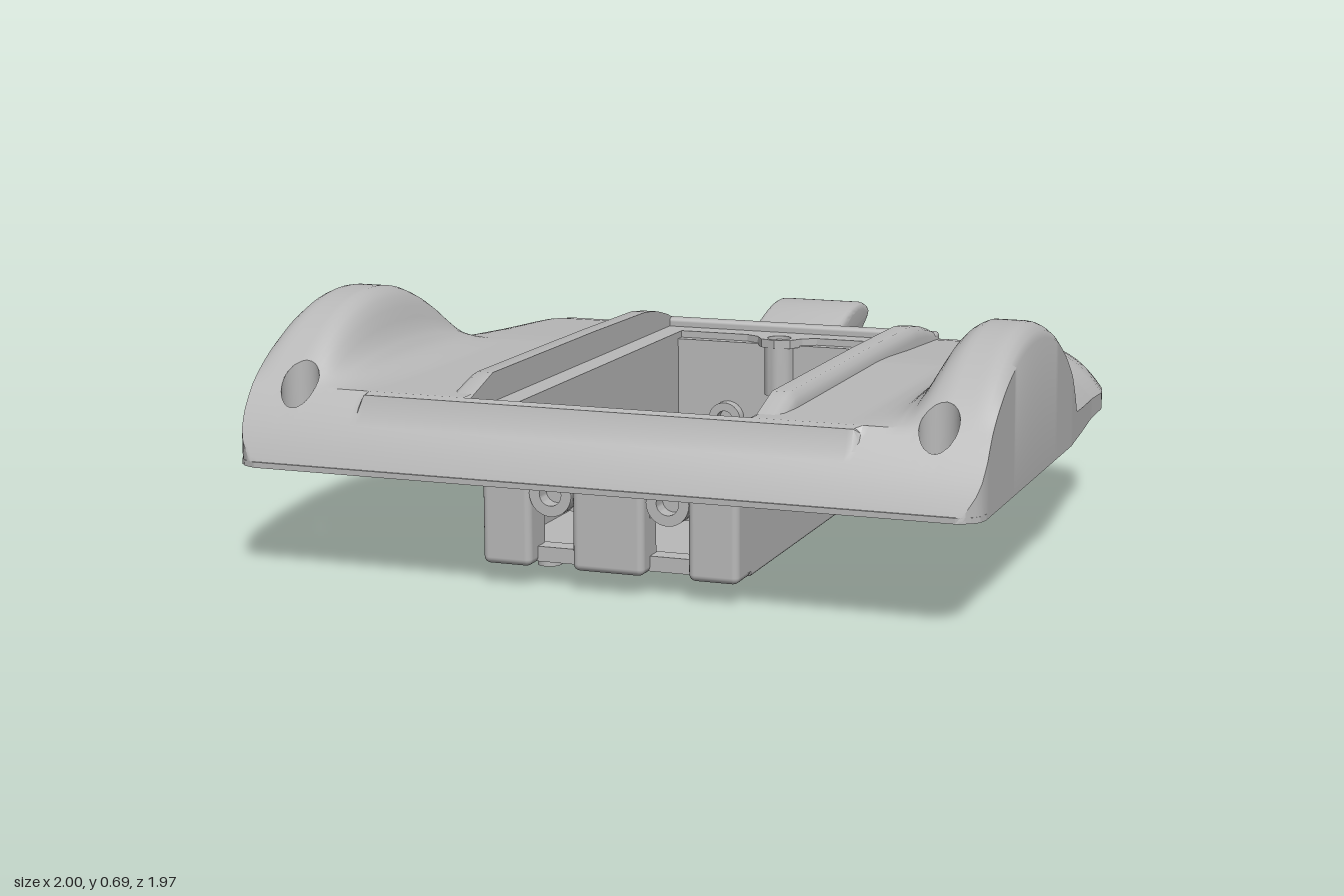
import * as THREE from 'three';
import { toCreasedNormals } from 'three/addons/utils/BufferGeometryUtils.js';
import { RoundedBoxGeometry } from 'three/addons/geometries/RoundedBoxGeometry.js';

const RIM = 0.29;
// piecewise-linear lookup
function interp(points, t) {
  if (t <= points[0][0]) return points[0][1];
  for (let i = 1; i < points.length; i++) {
    const [a, p] = points[i - 1], [b, q] = points[i];
    if (t <= b) return p + (q - p) * (t - a) / (b - a);
  }
  return points[points.length - 1][1];
}
const clamp = THREE.MathUtils.clamp;
const halfWidth = z => interp([[-0.82, 0.86], [-0.815, 0.885], [-0.8, 0.905], [-0.77, 0.92], [-0.6, 0.955], [-0.55, 0.965],
  [-0.4, 0.968], [-0.2, 0.985], [0, 1], [0.92, 1], [0.95, 0.993], [0.97, 0.975], [0.985, 0.94]], z);
const deckLine = z => interp([[-0.82, 0.395], [-0.81, 0.41], [-0.79, 0.42], [-0.75, 0.432], [-0.68, 0.445], [-0.6, 0.455],
  [-0.3, 0.472], [-0.1, 0.486], [0, 0.49]], z);
const gripLine = z => 0.105 + Math.sqrt(Math.max(0, 0.585 ** 2 - (z - 0.43) ** 2));
const gripProfile = x => interp([[0.65, 0], [0.7, 0.06], [0.74, 0.16], [0.78, 0.38], [0.8, 0.6], [0.82, 0.82],
  [0.845, 0.95], [0.87, 1], [0.955, 1], [0.985, 0.93], [1, 0.78]], x);

// height of the shell: deck, side grips, sloped front and rounded rear shoulders
function shellHeight(x, z) {
  const ax = Math.abs(x), w = halfWidth(z);
  const t = ax <= 0.7 ? ax : 0.7 + (ax - 0.7) / (w - 0.7) * 0.3;
  const fade = clamp((0.2 - z) / 0.3, 0, 1);
  const deck = deckLine(z) - fade * 0.12 * Math.pow(clamp((t - 0.72) / 0.28, 0, 1), 2.5);
  const arc = gripLine(z);
  if (arc > deck) return deck + (arc - deck) * gripProfile(t);
  if (z < 0.43) return deck;
  return Math.max(RIM, ax < 0.661 && z < 0.905 ? 0.485 : arc);
}

const screws = [[-0.865, 0.86, 0.42], [0.865, 0.86, 0.42], [-0.68, -0.72, 0.4], [0.68, -0.72, 0.4]];

// grid surface with screw holes, a central opening and vertical outer walls
function shellGeometry() {
  const half = [];
  for (let i = 1; i <= 66; i++) half.push(i * 0.015);
  half.push(1);
  const cols = [...half.map(v => -v).reverse(), 0, ...half];
  const rows = [-0.82, -0.815];
  for (let k = 0; k <= 119; k++) rows.push(-0.81 + k * 0.015);
  rows.push(0.981, 0.985);
  const nx = cols.length + 2, nz = rows.length + 2, pts = [], index = [];
  for (let j = 0; j < nz; j++) for (let i = 0; i < nx; i++) {
    const z = rows[clamp(j - 1, 0, rows.length - 1)], c = cols[clamp(i - 1, 0, cols.length - 1)];
    const a = Math.abs(c), w = halfWidth(z);
    const x = Math.sign(c) * (a <= 0.7 ? a : 0.7 + (a - 0.7) / 0.3 * (w - 0.7));
    const edge = i === 0 || j === 0 || i === nx - 1 || j === nz - 1;
    pts.push({ x, z, edge });
  }
  for (let j = 0; j < nz - 1; j++) for (let i = 0; i < nx - 1; i++) {
    const a = j * nx + i, quad = [a, a + 1, a + nx, a + nx + 1];
    const cx = (pts[a].x + pts[a + nx + 1].x) / 2, cz = (pts[a].z + pts[a + nx + 1].z) / 2;
    if (Math.abs(cx) < 0.39 && cz > -0.6 && cz < 0.87) continue;
    const hole = screws.find(s => Math.hypot(cx - s[0], cz - s[1]) < 0.05);
    if (hole) quad.forEach(q => { pts[q].hole = hole; });
    else index.push(a, a + nx, a + 1, a + 1, a + nx, a + nx + 1);
  }
  const pos = [];
  for (const p of pts) {
    if (p.hole) { // pull the ragged border onto the circle
      const [hx, hz] = p.hole, d = Math.hypot(p.x - hx, p.z - hz) || 1;
      p.x = hx + (p.x - hx) * 0.05 / d;
      p.z = hz + (p.z - hz) * 0.05 / d;
    }
    pos.push(p.x, p.edge ? RIM : shellHeight(p.x, p.z), p.z);
  }
  const g = new THREE.BufferGeometry();
  g.setAttribute('position', new THREE.Float32BufferAttribute(pos, 3));
  g.setIndex(index);
  return toCreasedNormals(g, 0.6);
}

// plan outline given as [x, z] pairs, extruded upward
const planPath = (pts, Kind = THREE.Path) => new Kind(pts.map(([x, z]) => new THREE.Vector2(x, -z)));
const circle = (x, z, r) => new THREE.Path().absarc(x, -z, r, 0, Math.PI * 2);
const rect = (x, z0, z1) => [[-x, z0], [x, z0], [x, z1], [-x, z1]];
function slab(outline, holes, y0, y1, bevel = 0) {
  const s = planPath(outline, THREE.Shape);
  s.holes = holes;
  const g = new THREE.ExtrudeGeometry(s, { depth: y1 - y0 - 2 * bevel, bevelEnabled: bevel > 0, bevelSize: bevel,
    bevelThickness: bevel, bevelOffset: -bevel, bevelSegments: 3, curveSegments: 24 });
  return g.rotateX(-Math.PI / 2).translate(0, y0 + bevel, 0);
}
// hollow cylinder standing on y
const ring = (rOut, rIn, h) => toCreasedNormals(new THREE.LatheGeometry(
  [[rIn, 0], [rOut, 0], [rOut, h], [rIn, h], [rIn, 0]].map(p => new THREE.Vector2(...p)), 28), 0.6);

export function createModel() {
  const model = new THREE.Group();
  const grey = new THREE.MeshStandardMaterial({ color: 0xb8b8b8, side: THREE.DoubleSide });
  grey.name = 'grey plastic';
  const add = (name, geometry, x = 0, y = 0, z = 0) => {
    const m = new THREE.Mesh(geometry, grey);
    m.name = name;
    m.position.set(x, y, z);
    model.add(m);
    return m;
  };
  const box = (name, x0, x1, y0, y1, z0, z1, r = 0) => add(name,
    r ? new RoundedBoxGeometry(x1 - x0, y1 - y0, z1 - z0, 3, r) : new THREE.BoxGeometry(x1 - x0, y1 - y0, z1 - z0),
    (x0 + x1) / 2, (y0 + y1) / 2, (z0 + z1) / 2);

  add('shell', shellGeometry());

  // flat rim under the shell
  const zs = [-0.82, -0.815, -0.8, -0.77, -0.6, -0.4, -0.2, 0, 0.92, 0.95, 0.97, 0.985];
  const outline = [...zs.map(z => [halfWidth(z), z]), ...zs.slice().reverse().map(z => [-halfWidth(z), z])];
  const inner = [[0.84, -0.6], [0.92, -0.3], [0.94, 0], [0.94, 0.7], [0.75, 0.78], [0.7, 0.92]];
  const opening = planPath([...inner, ...inner.slice().reverse().map(([x, z]) => [-x, z])]);
  add('bottomRim', slab(outline, [opening, ...screws.map(s => circle(s[0], s[1], 0.03))], RIM, RIM + 0.015));

  // counterbored screw wells
  for (const [x, z, ledge] of screws) {
    const wall = new THREE.CylinderGeometry(0.05, 0.05, 1, 28, 1, true);
    const p = wall.attributes.position;
    for (let i = 0; i < p.count; i++)
      p.setY(i, p.getY(i) > 0 ? shellHeight(x + p.getX(i), z + p.getZ(i)) : ledge);
    add('screwWell', wall, x, 0, z);
    add('screwBoss', ring(0.05, 0.03, ledge - RIM), x, RIM, z);
  }

  // recessed frame around the compartment, with a screw tab at the rear
  const mouth = planPath([[-0.32, -0.53], [-0.11, -0.53], [-0.07, -0.51], [-0.045, -0.47], [0, -0.455], [0.045, -0.47],
    [0.07, -0.51], [0.11, -0.53], [0.32, -0.53], [0.32, 0.75], [-0.32, 0.75]]);
  add('frame', slab(rect(0.39, -0.61, 0.875), [mouth, circle(0, 0.8, 0.04), circle(0, -0.505, 0.035)], 0.425, 0.45));
  box('frameFrontLip', -0.39, 0.39, 0.425, 0.485, 0.868, 0.88);
  add('frontScrewSocket', ring(0.042, 0.02, 0.1), 0, 0.34, 0.8);
  add('rearScrewSocket', ring(0.045, 0.02, 0.16), 0, 0.28, -0.505);

  // raised rails either side and the bar joining them at the rear
  const railTop = z => interp([[-0.645, 0.46], [-0.6, 0.485], [-0.5, 0.51], [-0.4, 0.523], [0, 0.527], [0.7, 0.527], [0.85, 0.48]], z);
  const profile = new THREE.Shape([[0.385, 0], [0.455, 0], [0.455, 0.65], [0.447, 0.88], [0.43, 1], [0.385, 1]]
    .map(p => new THREE.Vector2(...p)));
  const rail = new THREE.ExtrudeGeometry(profile, { depth: 1.495, steps: 50, bevelEnabled: false }).translate(0, 0, -0.645);
  const rp = rail.attributes.position;
  for (let i = 0; i < rp.count; i++) rp.setY(i, 0.425 + rp.getY(i) * (railTop(rp.getZ(i)) - 0.425));
  const railGeometry = toCreasedNormals(rail, 0.7);
  add('leftRail', railGeometry);
  add('rightRail', railGeometry).scale.x = -1;
  box('rearBar', -0.455, 0.455, 0.42, 0.475, -0.645, -0.6, 0.012);

  // latch tongue at the rear
  const tongue = new THREE.Shape();
  tongue.moveTo(0.62, 0.4);
  tongue.lineTo(0.82, 0.362);
  tongue.lineTo(0.965, 0.438);
  tongue.quadraticCurveTo(1.005, 0.465, 0.98, 0.485);
  tongue.quadraticCurveTo(0.9, 0.53, 0.75, 0.485);
  tongue.lineTo(0.62, 0.445);
  const tongueGeometry = new THREE.ExtrudeGeometry(tongue, { depth: 0.23, bevelSize: 0.02, bevelThickness: 0.02,
    bevelOffset: -0.02, bevelSegments: 4, curveSegments: 16 }).rotateY(Math.PI / 2).translate(-0.115, 0, 0);
  add('latchTongue', toCreasedNormals(tongueGeometry, 0.6));

  // compartment tub: floor, walls and a front split by two grooves
  const cut = s => planPath([[0.06, 0.7], [0.1, 0.715], [0.155, 0.735], [0.21, 0.715], [0.255, 0.7], [0.245, 0.748], [0.08, 0.748]]
    .map(([x, z]) => [s * x, z]));
  add('tubFloor', slab(rect(0.35, -0.55, 0.76), [cut(1), cut(-1)], 0.055, 0.085, 0.008));
  for (const s of [-1, 1]) {
    box('tubSideWall', s > 0 ? 0.32 : -0.35, s > 0 ? 0.35 : -0.32, 0.07, 0.43, -0.55, 0.78);
    box('tubFrontBlock', s > 0 ? 0.215 : -0.35, s > 0 ? 0.35 : -0.215, 0.055, 0.43, 0.75, 0.86, 0.018);
    box('grooveLintel', s > 0 ? 0.08 : -0.23, s > 0 ? 0.23 : -0.08, 0.2, 0.43, 0.75, 0.81);
    box('grooveSill', s > 0 ? 0.08 : -0.23, s > 0 ? 0.23 : -0.08, 0.06, 0.1, 0.755, 0.81);
    add('frontScrewBoss', ring(0.058, 0.03, 0.05).rotateX(Math.PI / 2), s * 0.16, 0.25, 0.805);
    add('innerScrewBoss', ring(0.05, 0.025, 0.035).rotateX(Math.PI / 2), s * 0.16, 0.2, -0.5);
    add('rearScrewSocket', ring(0.035, 0.02, 0.012).rotateX(Math.PI / 2), s * 0.16, 0.2, -0.56);
  }
  box('tubFrontCentre', -0.1, 0.095, 0.055, 0.43, 0.75, 0.86, 0.018);
  box('tubRearWall', -0.35, 0.35, 0.07, 0.43, -0.55, -0.5);

  // locating pins under the floor
  for (const [x, z] of [[0.155, 0.52], [0.17, 0.145], [-0.16, 0.145], [-0.27, 0.605]])
    add('locatingPin', new THREE.CylinderGeometry(0.033, 0.033, 0.065, 20), x, 0.0325, z);
  return model;
}
